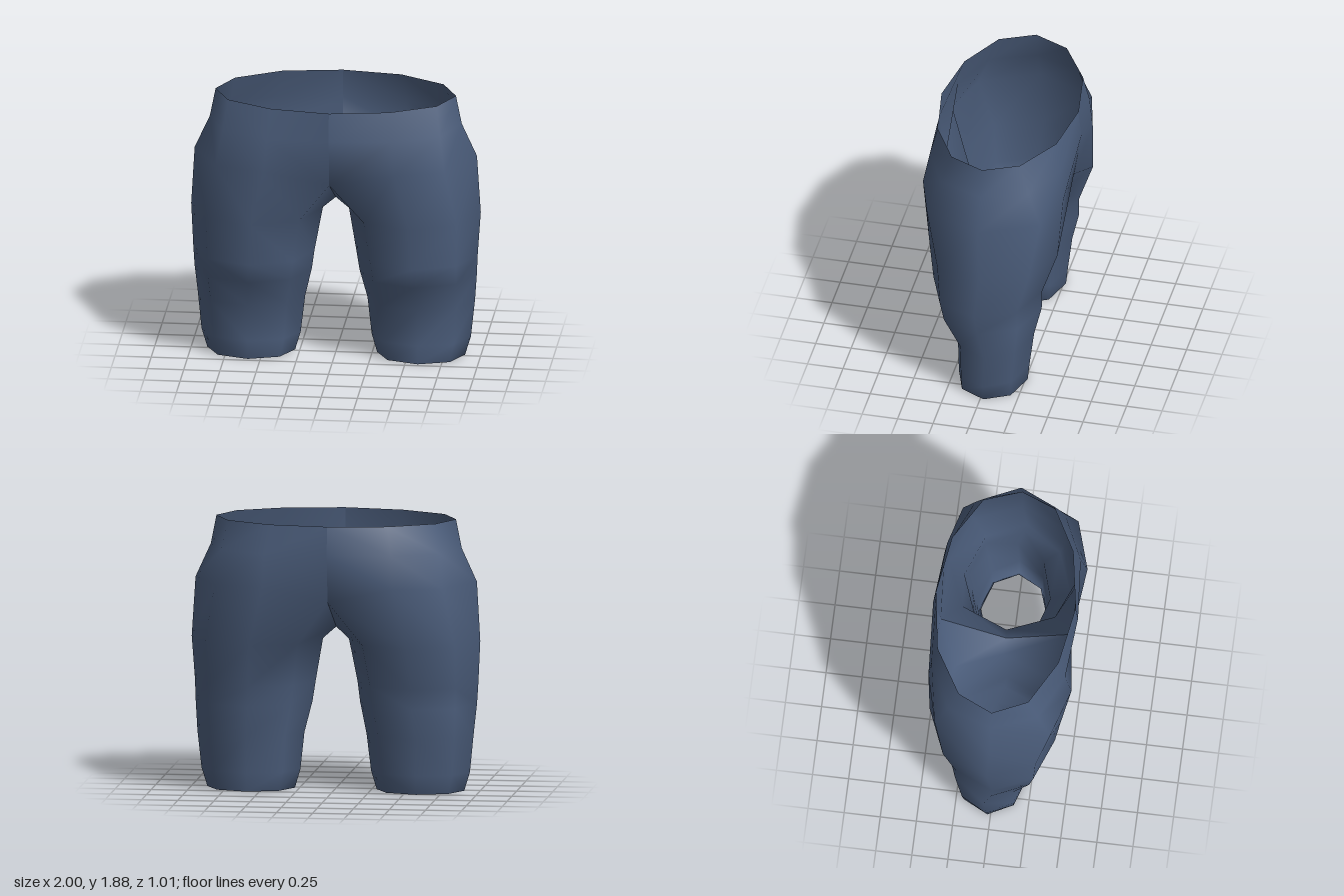
import * as THREE from 'three';

// Leg rings, bottom to top: y, inner x, outer x, back z, front z
const LEG = [
  [0.03, 0.305, 0.865, -0.25, 0.205], // hem turned inwards
  [0, 0.283, 0.89, -0.265, 0.22],
  [0.13, 0.245, 0.93, -0.278, 0.223],
  [0.39, 0.215, 0.957, -0.31, 0.23],
  [0.6, 0.165, 0.975, -0.36, 0.37],
  [0.74, 0.145, 0.982, -0.362, 0.405],
  [1.04, 0.09, 1.0, -0.465, 0.44],
];

// Hip rings: y, then [x, z] for side, front corner, front, centre front,
// crotch, centre back, back, back corner
const HIP = [
  [1.45, [0.975, 0], [0.79, 0.4], [0.45, 0.505], [0, 0.45], [0, 0], [0, -0.455], [0.45, -0.485], [0.79, -0.4]],
  [1.68, [0.87, 0], [0.75, 0.31], [0.43, 0.46], [0, 0.495], [0, 0], [0, -0.508], [0.44, -0.465], [0.76, -0.31]],
  [1.88, [0.83, 0], [0.72, 0.24], [0.41, 0.41], [0, 0.478], [0, 0], [0, -0.487], [0.41, -0.425], [0.72, -0.24]],
];
const COLS = 8;
const CROTCH = 4;

function halfGeometry(side) {
  const pos = [];
  const index = [];
  // Eight-sided leg rings
  for (const [y, x0, x1, z0, z1] of LEG) {
    for (let c = 0; c < COLS; c++) {
      const a = (c / COLS) * Math.PI * 2;
      const x = (x0 + x1) / 2 + ((x1 - x0) / 2) * Math.cos(a);
      const z = (z0 + z1) / 2 + ((z1 - z0) / 2) * Math.sin(a);
      pos.push(side * x, y, z);
    }
  }
  // Hip rings, with the lowest one dipping down to the crotch on the seam
  HIP.forEach(([y, ...points], r) => points.forEach(([x, z], c) => {
    let h = y;
    if (r === 0 && (c === 3 || c === 5)) h = 1.35;
    if (c === CROTCH) h = 1.12;
    pos.push(side * x, h, z);
  }));
  const rows = LEG.length + HIP.length;
  for (let r = 0; r < rows - 1; r++) {
    for (let c = 0; c < COLS; c++) {
      // Above the crotch the half is open along the centre seam
      if (r >= LEG.length && (c === CROTCH || c + 1 === CROTCH)) continue;
      const n = (c + 1) % COLS;
      const a = r * COLS + c, b = a + COLS;
      const d = r * COLS + n, e = d + COLS;
      if (side > 0) index.push(a, b, d, b, e, d);
      else index.push(a, d, b, b, d, e);
    }
  }
  const g = new THREE.BufferGeometry();
  g.setAttribute('position', new THREE.Float32BufferAttribute(pos, 3));
  g.setIndex(index);
  g.computeVertexNormals();
  return g;
}

export function createModel() {
  const group = new THREE.Group();
  group.name = 'shorts';
  const cloth = new THREE.MeshStandardMaterial({ color: 0x4b5d7b, side: THREE.DoubleSide });
  cloth.name = 'blue cloth';
  // Two mirrored halves meeting at the centre seam
  for (const [name, side] of [['leftHalf', 1], ['rightHalf', -1]]) {
    const mesh = new THREE.Mesh(halfGeometry(side), cloth);
    mesh.name = name;
    group.add(mesh);
  }
  return group;
}
